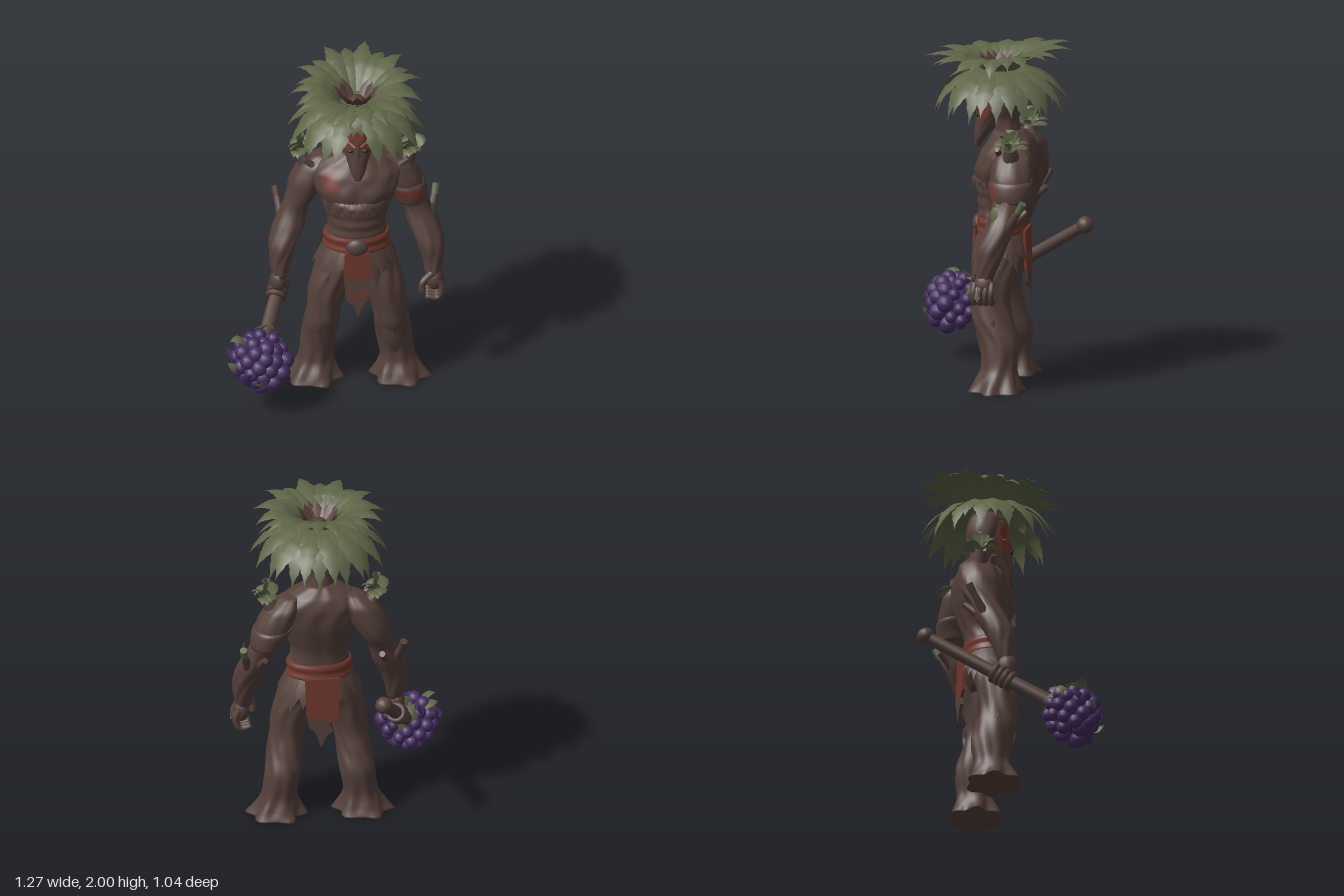
import * as THREE from 'three';
import { mergeGeometries } from 'three/addons/utils/BufferGeometryUtils.js';

const CX = 0.12; // body midline
const V = (x, y, z) => new THREE.Vector3(x, y, z);
const P2 = (x, y) => new THREE.Vector2(x, y);
const flat = (name, color, side = THREE.FrontSide) => Object.assign(new THREE.MeshStandardMaterial({ color, side }), { name });

export function createModel() {
  const model = new THREE.Group();
  const bark = flat('bark brown', 0x54403a, THREE.DoubleSide);
  const green = flat('leaf green', 0x5d6446, THREE.DoubleSide);
  const purple = flat('berry purple', 0x442c5e, THREE.DoubleSide);
  const red = flat('painted red', 0x70372d, THREE.DoubleSide);
  const dark = flat('dark hollow', 0x2b201d);

  const add = (name, geo, mat, pos, scale) => {
    const m = new THREE.Mesh(geo, mat);
    m.name = name;
    if (pos) m.position.copy(pos);
    if (scale) m.scale.copy(scale);
    model.add(m);
    return m;
  };

  // Smooth body from horizontal rings [x, y, z, rx, rz], listed bottom to top.
  // bump scales the radius; paint picks the faces that are red.
  const loft = (name, keys, { mat = bark, bump = () => 1, paint, rows = 40, seg = 32 } = {}) => {
    const mid = new THREE.CatmullRomCurve3(keys.map(k => V(k[0], k[1], k[2])));
    const rad = new THREE.CatmullRomCurve3(keys.map(k => V(k[3], k[4], 0)));
    const pos = [], plain = [], painted = [];
    for (let i = 0; i <= rows; i++) {
      const c = mid.getPoint(i / rows), r = rad.getPoint(i / rows);
      for (let j = 0; j < seg; j++) {
        const a = (j / seg) * Math.PI * 2, b = bump(a, c.y);
        pos.push(c.x + Math.cos(a) * r.x * b, c.y, c.z + Math.sin(a) * r.y * b);
      }
    }
    for (let i = 0; i < rows; i++) for (let j = 0; j < seg; j++) {
      const a = i * seg + j, b = i * seg + (j + 1) % seg, c = a + seg, d = b + seg;
      const hit = paint && paint(pos[a * 3], pos[a * 3 + 1], pos[a * 3 + 2]);
      (hit ? painted : plain).push(a, c, b, b, c, d);
    }
    const n = pos.length / 3, last = rows * seg;
    pos.push(...mid.getPoint(0).toArray(), ...mid.getPoint(1).toArray());
    for (let j = 0; j < seg; j++) {
      const k = (j + 1) % seg;
      plain.push(n, j, k, n + 1, last + k, last + j);
    }
    const g = new THREE.BufferGeometry();
    g.setAttribute('position', new THREE.Float32BufferAttribute(pos, 3));
    g.setIndex([...plain, ...painted]);
    g.addGroup(0, plain.length, 0);
    g.addGroup(plain.length, painted.length, 1);
    g.computeVertexNormals();
    return add(name, g, paint ? [mat, red] : mat);
  };

  // Pointed, toothed leaf along a bent path, folded along its midrib
  const leaf = (a, m, b, width, face = V(0, 1, 0), teeth = 0) => {
    const path = new THREE.QuadraticBezierCurve3(a, m, b);
    const side = b.clone().sub(a).cross(face).normalize();
    const pos = [], idx = [], n = teeth ? teeth * 4 : 8;
    for (let i = 0; i <= n; i++) {
      const t = i / n, p = path.getPoint(t);
      const w = width * (0.25 + 0.75 * Math.sin(Math.PI * Math.min(1, t * 0.8 + 0.15))) * Math.min(1, (1 - t) * 3.5);
      const s = side.clone().multiplyScalar(w * (teeth ? 1 - 0.35 * ((t * teeth) % 1) : 1) / 2);
      const fold = face.clone().multiplyScalar(-w * 0.15);
      pos.push(...p.clone().sub(s).add(fold).toArray(), ...p.toArray(), ...p.clone().add(s).add(fold).toArray());
      if (i < n) for (const k of [0, 1]) {
        const q = i * 3 + k;
        idx.push(q, q + 1, q + 3, q + 1, q + 4, q + 3);
      }
    }
    const g = new THREE.BufferGeometry();
    g.setAttribute('position', new THREE.Float32BufferAttribute(pos, 3));
    g.setIndex(idx);
    g.computeVertexNormals();
    return g;
  };

  const rod = (name, a, b, r0, r1, mat = bark) => {
    const d = b.clone().sub(a);
    const m = add(name, new THREE.CylinderGeometry(r1, r0, d.length(), 10), mat, a.clone().add(b).multiplyScalar(0.5));
    m.quaternion.setFromUnitVectors(V(0, 1, 0), d.normalize());
  };
  const ball = (name, p, s, mat = bark) => add(name, new THREE.SphereGeometry(1, 14, 10), mat, p, s);
  const ridges = (amp, k) => (a, y) => 1 + amp * Math.sin(k * a + 4 * Math.sin(y * 8));

  // Torso with chest muscles and a painted patch
  const bump = (a, y) => {
    const f = Math.max(0, Math.sin(a)), c = Math.cos(a);
    const pec = 0.13 * f * Math.exp(-(((y - 1.27) / 0.07) ** 2)) * Math.min(1, Math.abs(c) * 4);
    const abs = y < 1.18 && y > 0.95 ? 0.03 * f * Math.sin(y * 90) : 0;
    const spine = -0.06 * Math.max(0, -Math.sin(a)) ** 40;
    return 1 + pec + abs + spine + 0.015 * Math.sin(11 * a + 5 * Math.sin(y * 9));
  };
  loft('torso', [[CX, 0.72, -0.04, 0.12, 0.1], [CX, 0.82, -0.045, 0.185, 0.135], [CX, 0.95, -0.045, 0.18, 0.13],
    [CX, 1.05, -0.045, 0.165, 0.135], [CX, 1.15, -0.06, 0.195, 0.15], [CX, 1.26, -0.075, 0.235, 0.165],
    [CX, 1.36, -0.09, 0.255, 0.16], [CX, 1.43, -0.1, 0.2, 0.13], [CX, 1.49, -0.09, 0.09, 0.085]],
  { bump, rows: 56, seg: 64, paint: (x, y, z) => z > -0.02 && y > 1.26 + Math.abs(x + 0.01) * 0.8 + 0.02 * Math.sin(x * 120) && y < 1.39 - 0.02 * Math.sin(x * 90) && x > -0.07 && x < 0.04 });
  loft('neckAndSkull', [[CX, 1.38, -0.1, 0.12, 0.09], [CX, 1.46, -0.085, 0.085, 0.075], [CX, 1.54, -0.075, 0.082, 0.072],
    [CX, 1.62, -0.065, 0.105, 0.095], [CX, 1.7, -0.06, 0.115, 0.107], [CX, 1.77, -0.05, 0.108, 0.105], [CX, 1.83, -0.04, 0.06, 0.07]], { bump: ridges(0.02, 8) });

  // Ragged bark fringe under the chest
  const flakes = [];
  for (let i = -6; i <= 6; i++) {
    const t = i / 6.5, x = CX + t * 0.19, z = 0.115 - 0.1 * t * t, y = 1.22 + 0.03 * Math.abs(t);
    flakes.push(leaf(V(x, y, z - 0.01), V(x, y - 0.03, z + 0.03), V(x * 0.9 + CX * 0.1, y - 0.11 + 0.05 * (i & 1), z + 0.002), 0.075, V(t * 0.6, 0, 1)));
  }
  add('chestBark', mergeGeometries(flakes), bark);

  // Long tapered head mask with painted brow
  const hx = CX + 0.005;
  loft('headMask', [[hx, 1.385, 0.095, 0.02, 0.015], [hx, 1.43, 0.083, 0.042, 0.03], [hx, 1.5, 0.05, 0.063, 0.06],
    [hx, 1.58, 0.015, 0.088, 0.085], [hx, 1.66, -0.02, 0.105, 0.11], [hx, 1.74, -0.035, 0.105, 0.115], [hx, 1.81, -0.035, 0.06, 0.075]],
  { rows: 44, seg: 40, bump: ridges(0.015, 9), paint: (x, y, z) => z > 0.01 && y > 1.6 - Math.abs(x - hx) * 0.5 && y < 1.73 && (y > 1.64 || Math.abs(x - hx) > 0.02) });
  rod('noseRidge', V(hx, 1.43, 0.104), V(hx, 1.63, 0.083), 0.01, 0.02);
  for (const s of [-1, 1]) {
    rod('brow', V(hx + s * 0.015, 1.6, 0.1), V(hx + s * 0.09, 1.645, 0.04), 0.012, 0.016, red);
    ball('eye', V(hx + s * 0.042, 1.575, 0.088), V(0.02, 0.012, 0.012), dark);
  }
  add('redHeadLeaf', mergeGeometries([0, 1, 2].map(i =>
    leaf(V(0.06, 1.69 - i * 0.02, 0.02), V(-0.02, 1.69 - i * 0.02, 0.06), V(-0.09 + i * 0.03, 1.6 - i * 0.01, 0.05), 0.06, V(-0.3, 0.5, 0.8)))), red);

  // Two-tiered leaf crown around a bare centre
  const cz = -0.035;
  const ray = (a, r, y) => V(CX + Math.sin(a) * r, y, cz + Math.cos(a) * r);
  const upper = [], lower = [], heart = [], N = 22, M = 28;
  for (let i = 0; i < N; i++) {
    const a = ((i + 0.5) / N) * Math.PI * 2, c = Math.cos(a), back = Math.max(0, -c), w = i % 2;
    upper.push(leaf(ray(a, 0.07, 1.82), ray(a, 0.22, 2.06 - 0.05 * Math.max(0, c)),
      ray(a, 0.395 + 0.05 * c * c - 0.025 * w, 1.88 + 0.03 * Math.max(0, c) + 0.1 * back - 0.03 * w), 0.13, V(0, 1, 0), 5));
  }
  for (let i = 0; i < M; i++) {
    const a = ((i + 0.5) / M) * Math.PI * 2, w = i % 2;
    lower.push(Math.cos(a) > 0.96
      ? leaf(ray(a, 0.08, 1.85), ray(a, 0.2, 1.84), ray(a, 0.22, 1.72), 0.11, V(0, 1, 0), 3)
      : leaf(ray(a, 0.08, 1.85), ray(a, 0.32, 1.86), ray(a, 0.41 - 0.04 * w, 1.63 - 0.05 * w), 0.12, V(0, 1, 0), 5));
  }
  // Bare bark showing between the innermost leaves, open at the back
  for (let i = -7; i <= 7; i++) {
    const a = i * 0.36, r = 0.13 + 0.025 * ((i & 1) - 0.5);
    heart.push(leaf(ray(a, 0.045, 1.83), ray(a, 0.08, 1.875), ray(a, r, 1.93), 0.065));
  }
  add('upperCrownLeaves', mergeGeometries(upper), green);
  add('lowerCrownLeaves', mergeGeometries(lower), green);
  add('crownHeart', mergeGeometries(heart), bark);
  add('crownBowl', new THREE.LatheGeometry([P2(0.07, 1.81), P2(0.13, 1.87), P2(0.2, 1.92)], 32), green, V(CX, 0, cz));
  add('crownBrim', new THREE.LatheGeometry([P2(0.25, 1.8), P2(0.17, 1.83), P2(0.07, 1.85)], 32, 0.35, Math.PI * 2 - 0.7), green, V(CX, 0, cz));
  ball('skullTop', V(CX, 1.81, cz), V(0.058, 0.06, 0.08));

  for (const s of [-1, 1]) {
    const side = s > 0 ? 'left' : 'right', X = d => CX + s * d;
    // Arm
    loft(side + 'Arm', [[X(0.44), 0.69, -0.02, 0.045, 0.05], [X(0.44), 0.78, -0.04, 0.06, 0.065], [X(0.425), 0.88, -0.06, 0.08, 0.085],
      [X(0.39), 0.98, -0.1, 0.09, 0.09], [X(0.355), 1.08, -0.13, 0.078, 0.085], [X(0.31), 1.18, -0.15, 0.09, 0.11],
      [X(0.27), 1.28, -0.15, 0.108, 0.12], [X(0.225), 1.37, -0.15, 0.1, 0.11], [X(0.18), 1.44, -0.14, 0.05, 0.06]], { bump: ridges(0.04, 7) });
    // Leg flaring into root toes
    loft(side + 'Leg', [[X(0.25), 0, -0.06, 0.16, 0.155], [X(0.245), 0.05, -0.06, 0.132, 0.13], [X(0.235), 0.14, -0.07, 0.1, 0.1],
      [X(0.215), 0.28, -0.07, 0.103, 0.115], [X(0.2), 0.4, -0.03, 0.1, 0.12], [X(0.185), 0.5, -0.015, 0.1, 0.11],
      [X(0.16), 0.65, -0.02, 0.112, 0.12], [X(0.125), 0.78, -0.04, 0.1, 0.125], [X(0.1), 0.88, -0.05, 0.08, 0.11]],
    { rows: 48, seg: 48, bump: (a, y) => 1 + 0.035 * Math.sin(8 * a + 4 * Math.sin(y * 8)) + 0.12 * Math.max(0, 1 - y / 0.18) * Math.sin(6 * a + 0.6) });
    // Bark splinters on the shins
    add(side + 'ShinBark', mergeGeometries([[0.29, 0.24, -0.05, 0.19], [0.22, 0.2, 0.04, 0.18], [0.17, 0.25, 0.05, 0.16]].map(([d, y, z, h]) =>
      leaf(V(X(d), y, z), V(X(d + 0.015), y + h * 0.5, z * 1.35 + 0.01), V(X(d + 0.01), y + h, z * 1.3 + 0.02), 0.08, V(s * (d - 0.2) * 8, 0, z * 10 + 0.3).normalize()))), bark);
    // Shoulder stump and arching leaf tuft
    rod(side + 'ShoulderStump', V(X(0.27), 1.34, -0.15), V(X(0.32), 1.44, -0.15), 0.06, 0.035);
    rod(side + 'ShoulderTwig', V(X(0.22), 1.36, -0.08), V(X(0.3), 1.43, -0.07), 0.025, 0.015);
    const tuft = [];
    for (let i = 0; i < 16; i++) {
      const a = i * 2.4, up = i % 4 === 0, c = V(X(0.32), 1.43, -0.15), r = up ? 0.03 : 0.085 + 0.03 * ((i * 0.37) % 1);
      const out = (k, y) => c.clone().add(V(Math.cos(a) * r * k * 0.85, y, Math.sin(a) * r * k * 1.1));
      const tip = up ? 0.11 : [0, 0.06, 0.015, 0.04][i % 4];
      tuft.push(leaf(c, out(0.6, tip + 0.05), out(1, tip), 0.085, V(Math.cos(a), up ? 0.2 : 0.8, Math.sin(a)).normalize()));
    }
    add(side + 'ShoulderLeaves', mergeGeometries(tuft), green);
    // Forked elbow twigs
    rod(side + 'ElbowTwig', V(X(0.42), 0.96, -0.13), V(X(0.455), 1.1, -0.22), 0.032, 0.02);
    rod(side + 'ElbowTwigTip', V(X(0.455), 1.1, -0.22), V(X(0.465), 1.155, -0.25), 0.021, 0.022, s > 0 ? green : bark);
    rod(side + 'SmallTwig', V(X(0.38), 0.98, -0.14), V(X(0.34), 1.08, -0.25), 0.028, 0.018);
    ball(side + 'Palm', V(X(0.45), 0.66, -0.02), V(0.05, 0.075, 0.06));
  }
  // Painted band and moss on the left arm
  loft('armBand', [[0.44, 1.13, -0.15, 0.092, 0.112], [0.43, 1.18, -0.15, 0.102, 0.123], [0.41, 1.23, -0.15, 0.112, 0.13], [0.4, 1.25, -0.15, 0.108, 0.122]],
    { rows: 12, paint: (x, y, z) => y > 1.165 + 0.02 * Math.sin(x * 60) && y < 1.22 && z > -0.1 });
  add('armMoss', mergeGeometries([
    leaf(V(0.56, 1.12, -0.08), V(0.575, 1.08, -0.075), V(0.57, 1.03, -0.07), 0.05, V(0.9, 0, 0.4)),
    leaf(V(0.608, 0.66, 0.01), V(0.635, 0.62, 0.015), V(0.628, 0.57, 0.01), 0.05, V(1, 0, 0))]), green);

  // Left hand, half closed
  for (let i = 0; i < 4; i++) {
    const z = 0.035 - i * 0.034;
    add('finger', new THREE.TubeGeometry(new THREE.CatmullRomCurve3([V(0.585, 0.68, z), V(0.61, 0.62, z), V(0.585, 0.56, z), V(0.53, 0.565, z)]), 10, 0.018, 8), bark);
    ball('fingertip', V(0.53, 0.565, z), V(0.018, 0.018, 0.018));
  }
  add('thumb', new THREE.TubeGeometry(new THREE.CatmullRomCurve3([V(0.55, 0.71, 0.02), V(0.5, 0.67, 0.05), V(0.495, 0.61, 0.05)]), 8, 0.02, 8), bark);

  // Belt, knot and hanging cloths
  const ring = (y, rx, rz) => [CX, y, -0.045, rx, rz];
  loft('belt', [ring(0.88, 0.188, 0.134), ring(0.9, 0.196, 0.142), ring(0.93, 0.186, 0.136), ring(0.96, 0.194, 0.141), ring(0.985, 0.182, 0.134)], { mat: red, rows: 16, seg: 40 });
  ball('beltKnot', V(CX, 0.93, 0.09), V(0.065, 0.055, 0.035));
  const cloth = (name, pts, mat, pos, tilt) => {
    const g = new THREE.ExtrudeGeometry(new THREE.Shape(pts.map(p => P2(...p))), { depth: 0.016, bevelEnabled: false });
    add(name, g, mat, pos).rotation.x = tilt;
  };
  cloth('frontCloth', [[-0.07, 0], [0.07, 0], [0.08, -0.16], [0.04, -0.15], [0, -0.18], [-0.04, -0.15], [-0.08, -0.16]], red, V(CX, 0.9, 0.095), -0.02);
  cloth('frontClothHem', [[-0.08, -0.16], [-0.04, -0.15], [0, -0.18], [0.04, -0.15], [0.08, -0.16], [0.065, -0.3], [0.04, -0.33], [0.025, -0.36], [0.005, -0.42], [-0.02, -0.35], [-0.06, -0.31]], bark, V(CX, 0.9, 0.095), -0.02);
  cloth('hemStripe', [[-0.06, -0.27], [0, -0.31], [0.06, -0.27], [0.055, -0.24], [0, -0.28], [-0.055, -0.24]], red, V(CX, 0.9, 0.1), -0.02);
  cloth('backCloth', [[-0.1, 0], [0.1, 0], [0.095, -0.22], [0.05, -0.26], [0.02, -0.24], [-0.04, -0.28], [-0.09, -0.25]], red, V(CX, 0.91, -0.2), 0.04);
  cloth('backClothHem', [[0.095, -0.22], [0.05, -0.26], [0.02, -0.24], [-0.04, -0.28], [-0.06, -0.33], [-0.02, -0.36], [0.01, -0.43], [0.04, -0.34], [0.08, -0.3]], bark, V(CX, 0.91, -0.2), 0.04);

  // Ragged skirt around the hips
  const skirt = [];
  for (let i = 0; i < 34; i++) {
    const a = (i / 34) * Math.PI * 2, at = (k, y) => V(CX + Math.cos(a) * 0.19 * k, y, -0.045 + Math.sin(a) * 0.135 * k);
    if (Math.abs(Math.cos(a)) < 0.35) continue;
    skirt.push(leaf(at(0.97, 0.91), at(1.25, 0.83), at(1.34, 0.68 + 0.045 * (i % 3)), 0.085, V(Math.cos(a), 0, Math.sin(a))));
  }
  add('barkSkirt', mergeGeometries(skirt), bark);

  // Club handle and gripping fingers
  const tail = V(-0.2, 0.865, -0.475), head = V(-0.45, 0.335, 0.34);
  const axis = head.clone().sub(tail).normalize();
  rod('clubHandle', tail, head, 0.034, 0.045);
  ball('clubKnob', tail, V(0.05, 0.05, 0.05));
  for (let i = 0; i < 4; i++) {
    const m = add('gripFinger', new THREE.TorusGeometry(0.045, 0.018, 8, 16), bark, tail.clone().lerp(head, 0.47 + i * 0.035));
    m.quaternion.setFromUnitVectors(V(0, 0, 1), axis);
  }

  // Berry cluster with sprouting leaves
  ball('berryCore', head, V(0.13, 0.13, 0.13), purple);
  const spikes = [], sprouts = [], berry = new THREE.SphereGeometry(1, 12, 8), B = 46;
  for (let i = 0; i < B; i++) {
    const y = 1 - (2 * i + 1) / B, r = Math.sqrt(1 - y * y), a = i * 2.39996;
    const d = V(r * Math.cos(a), y, r * Math.sin(a)), q = 0.035 + 0.017 * ((i * 0.618) % 1);
    add('berry', berry, purple, head.clone().addScaledVector(d, 0.118 + 0.035 * ((i * 0.377) % 1)), V(q, q, q));
    if (i % 5 !== 2) continue;
    const t = V(-d.z, 0.3, d.x).normalize(), at = (k, u) => head.clone().addScaledVector(d, k).addScaledVector(t, u);
    (i % 10 === 2 ? sprouts : spikes).push(leaf(at(0.13, -0.03), at(0.21, 0), at(0.185, 0.06), 0.06, d));
  }
  for (let i = 0; i < 6; i++) {
    const a = i * 1.05, o = V(Math.cos(a), Math.sin(a), 0), c = head.clone().addScaledVector(axis, -0.2);
    sprouts.push(leaf(c, c.clone().addScaledVector(o, 0.06), head.clone().addScaledVector(axis, -0.11).addScaledVector(o, 0.11), 0.06, o));
  }
  sprouts.push(leaf(V(-0.5, 0.42, 0.3), V(-0.57, 0.5, 0.3), V(-0.62, 0.45, 0.33), 0.09), leaf(V(-0.5, 0.42, 0.36), V(-0.55, 0.53, 0.36), V(-0.61, 0.49, 0.36), 0.08));
  add('berrySpikes', mergeGeometries(spikes), purple);
  add('clubLeaves', mergeGeometries(sprouts), green);
  return model;
}
